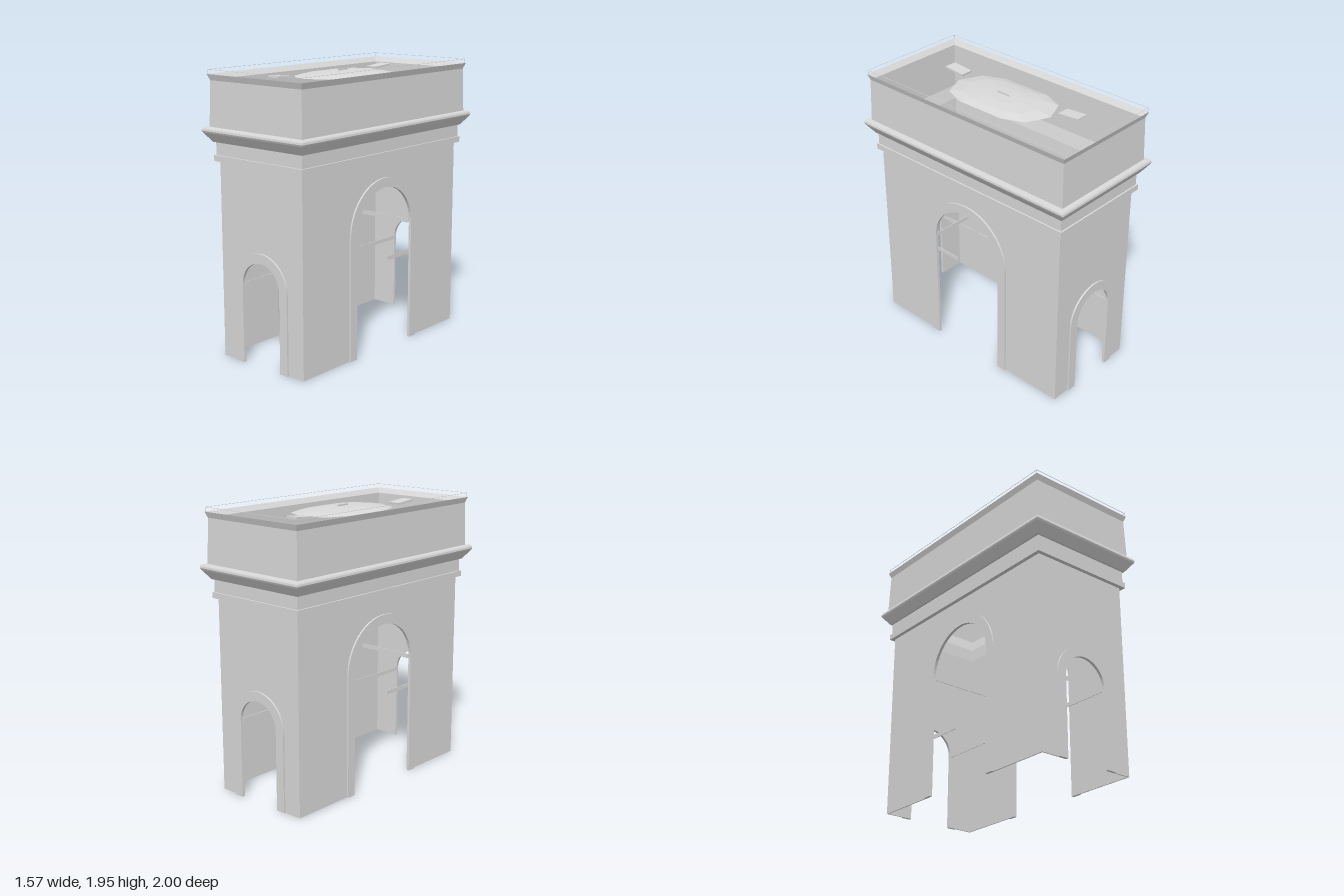
import * as THREE from 'three';

const HX = 0.3645, HZ = 0.813;            // half size of the plan
const WALL_TOP = 1.38, SKIN = 0.008;
const BIG = { r: 0.293, spring: 0.852 };  // opening in the long sides
const SMALL = { r: 0.166, spring: 0.55 }; // opening in the ends
const TRIM = 0.066;

const stone = new THREE.MeshStandardMaterial({ color: 0xd9d9d9 });
stone.name = 'stone';

function mesh(name, geometry) {
  const m = new THREE.Mesh(geometry, stone);
  m.name = name;
  return m;
}

function box(name, w, h, d, x, y, z) {
  const m = mesh(name, new THREE.BoxGeometry(w, h, d));
  m.position.set(x, y, z);
  return m;
}

// Join closed loops of points with flat faces, each loop to the next.
function loft(loops) {
  const pos = [];
  for (let i = 0; i < loops.length - 1; i++) {
    const a = loops[i], b = loops[i + 1];
    for (let k = 0; k < a.length; k++) {
      const n = (k + 1) % a.length;
      pos.push(...a[k], ...a[n], ...b[n], ...a[k], ...b[n], ...b[k]);
    }
  }
  const g = new THREE.BufferGeometry();
  g.setAttribute('position', new THREE.Float32BufferAttribute(pos, 3));
  g.computeVertexNormals();
  return g;
}

// Sweep an (offset, height) profile round the rectangular plan.
const CORNERS = [[-1, 1], [1, 1], [1, -1], [-1, -1]];
const plinthRing = (profile) => loft(profile.map(([d, y]) =>
  CORNERS.map(([sx, sz]) => [sx * (HX + d), y, sz * (HZ + d)])));

function extrude(shape, depth, z) {
  const g = new THREE.ExtrudeGeometry(shape, { depth, bevelEnabled: false, curveSegments: 14 });
  return g.translate(0, 0, z);
}

// Wall panel with an arched doorway cut from its foot.
function wallPanel(half, arch) {
  const s = new THREE.Shape();
  s.moveTo(-half, 0);
  s.lineTo(-arch.r, 0);
  s.lineTo(-arch.r, arch.spring);
  s.absarc(0, arch.spring, arch.r, Math.PI, 0, true);
  s.lineTo(arch.r, 0);
  s.lineTo(half, 0);
  s.lineTo(half, WALL_TOP);
  s.lineTo(-half, WALL_TOP);
  s.closePath();
  return extrude(s, SKIN, -SKIN);
}

// Raised band around the doorway.
function archTrim({ r, spring }) {
  const s = new THREE.Shape();
  const R = r + TRIM;
  s.moveTo(-R, 0);
  s.lineTo(-R, spring);
  s.absarc(0, spring, R, Math.PI, 0, true);
  s.lineTo(R, 0);
  s.lineTo(r, 0);
  s.lineTo(r, spring);
  s.absarc(0, spring, r, 0, Math.PI, false);
  s.lineTo(-r, 0);
  s.closePath();
  return extrude(s, 0.012 + SKIN, -SKIN);
}

export function createModel() {
  const model = new THREE.Group();
  model.name = 'triumphalArch';
  model.rotation.y = -0.441;

  // Four walls, each with its arch
  for (let i = 0; i < 4; i++) {
    const isEnd = i % 2 === 0;
    const arch = isEnd ? SMALL : BIG;
    const side = new THREE.Group();
    side.name = isEnd ? 'endWall' : 'longWall';
    const panel = mesh('wallPanel', wallPanel(isEnd ? HX : HZ, arch));
    const trim = mesh('archTrim', archTrim(arch));
    panel.position.z = trim.position.z = isEnd ? HZ : HX;
    side.add(panel, trim);
    side.rotation.y = i * Math.PI / 2;
    model.add(side);
  }

  // String course, frieze, cornice and attic
  model.add(mesh('entablatureAndAttic', plinthRing([
    [0, 1.35], [0.028, 1.35], [0.028, 1.39], [0.017, 1.39], [0.017, 1.475],
    [0.03, 1.477], [0.076, 1.54], [0.082, 1.552], [0.08, 1.565], [0.073, 1.575],
    [0.045, 1.578], [0.037, 1.88], [0.052, 1.92],
  ])));

  // Inner face of the attic and entablature, open to the sky
  model.add(mesh('atticLining', plinthRing([
    [0.052, 1.92], [0.025, 1.885], [0.025, 1.57], [0, 1.48], [-SKIN, WALL_TOP],
  ])));

  // Fine wire rail above the parapet
  model.add(mesh('parapetRail', plinthRing([
    [0.045, 1.948], [0.047, 1.948], [0.047, 1.95], [0.045, 1.95], [0.045, 1.948],
  ])));
  for (const [sx, sz] of CORNERS) {
    model.add(box('railPost', 0.002, 0.032, 0.002, sx * (HX + 0.046), 1.934, sz * (HZ + 0.046)));
  }

  // Impost mouldings lining the two crossing passages
  const run = HZ - BIG.r;
  for (const s of [-1, 1]) {
    model.add(box('bigPassageMoulding', 2 * HX - 0.02, 0.03, 0.004, 0, 0.855, s * BIG.r));
    for (const t of [-1, 1]) {
      model.add(box('smallPassageMoulding', 0.004, 0.03, run - 0.01,
        s * SMALL.r, 0.545, t * (BIG.r + run / 2 - 0.005)));
    }
  }

  // Low faceted roof dome on a ten-sided outline
  const half = [[0, 0.407], [0.163, 0.336], [0.226, 0.182], [0.226, -0.182], [0.163, -0.336]];
  const outline = [...half, ...half.map(([x, z]) => [-x, -z])];
  const dome = mesh('roofDome', loft([[1, 1.88], [0.75, 1.897], [0.4, 1.906], [0.001, 1.909]]
    .map(([k, y]) => outline.map(([x, z]) => [x * k, y, z * k]))));
  model.add(dome);

  // Small upright plate on the dome
  model.add(box('domePlate', 0.004, 0.03, 0.1, 0, 1.904, 0));

  // Tilted roof hatches
  for (const s of [-1, 1]) {
    const hatch = box('roofHatch', 0.09, 0.014, 0.16, -0.096, 1.895, s * 0.505);
    hatch.rotation.x = -s * 0.08;
    model.add(hatch);
  }

  const root = new THREE.Group();
  root.name = 'monument';
  root.add(model);
  return root;
}
